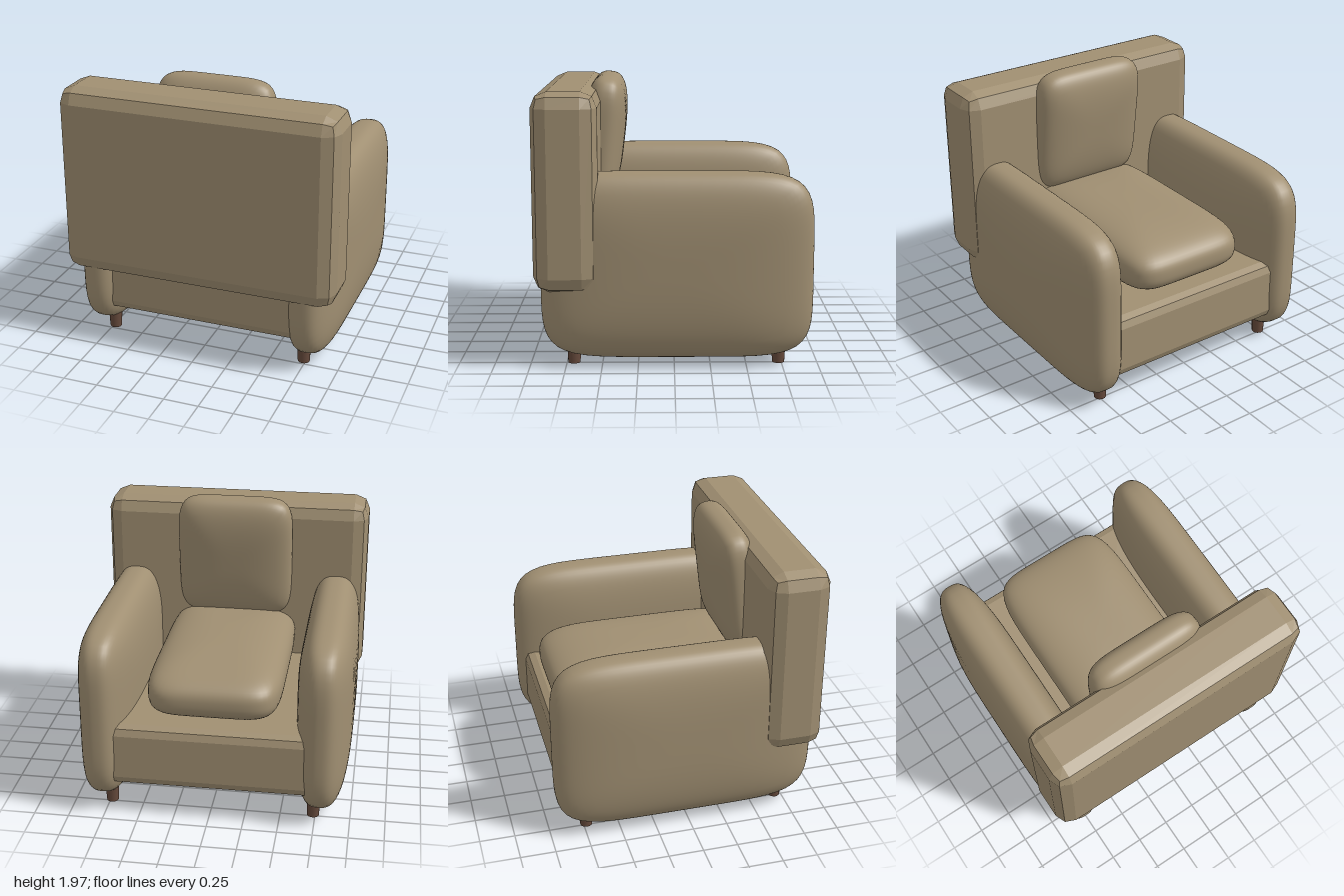
import * as THREE from 'three';
import { mergeVertices } from 'three/addons/utils/BufferGeometryUtils.js';
import { RoundedBoxGeometry } from 'three/addons/geometries/RoundedBoxGeometry.js';

// Plump padded block: a cube pushed onto a superellipsoid.
// "thin" is the axis of thickness, "outline" squares off the broad face, "puff" rounds its rim.
function padGeometry(half, thin, outline, puff) {
  let g = new THREE.BoxGeometry(2, 2, 2, 20, 20, 20);
  g.deleteAttribute('uv');
  g.deleteAttribute('normal');
  g = mergeVertices(g, 1e-4);
  const p = g.attributes.position;
  const v = new THREE.Vector3();
  for (let i = 0; i < p.count; i++) {
    v.fromBufferAttribute(p, i);
    const a = v.toArray().map(Math.abs);
    const t = a.splice(thin, 1)[0];
    const broad = Math.pow(a[0] ** outline + a[1] ** outline, puff / outline);
    v.divideScalar(Math.pow(broad + t ** puff, 1 / puff));
    p.setXYZ(i, v.x * half[0], v.y * half[1], v.z * half[2]);
  }
  g.computeVertexNormals();
  return g;
}

// Box with two flat facets around every edge, given by its limits
function bevelBox(min, max, radius) {
  const size = max.map((m, i) => m - min[i]);
  let g = new RoundedBoxGeometry(size[0], size[1], size[2], 1, radius);
  if (g.index) g = g.toNonIndexed();
  g.computeVertexNormals();
  g.translate(...max.map((m, i) => (m + min[i]) / 2));
  return g;
}

export function createModel() {
  const group = new THREE.Group();
  group.name = 'armchair';

  const fabric = new THREE.MeshStandardMaterial({ color: 0xa08f72 });
  fabric.name = 'beige fabric';
  const wood = new THREE.MeshStandardMaterial({ color: 0x664a3c });
  wood.name = 'brown wood';

  const add = (name, geometry, material, x = 0, y = 0, z = 0) => {
    const mesh = new THREE.Mesh(geometry, material);
    mesh.name = name;
    mesh.position.set(x, y, z);
    group.add(mesh);
    return mesh;
  };

  // Frame
  add('seatBase', bevelBox([-0.76, 0.225, -0.905], [0.76, 0.69, 0.86], 0.07), fabric);
  add('backrest', bevelBox([-1, 0.545, 0.515], [1, 1.91, 0.96], 0.11), fabric);

  // Cushions
  add('seatCushion', padGeometry([0.48, 0.21, 0.8], 1, 6, 2.8), fabric, 0, 0.88, -0.055);
  const pillow = add('backCushion', padGeometry([0.435, 0.48, 0.16], 2, 6, 2.8), fabric, 0, 1.49, 0.52);
  pillow.rotation.x = -0.12;

  // Arms and legs, mirrored left and right
  const armShape = padGeometry([0.205, 0.65, 0.94], 0, 5.7, 2.9);
  const legShape = new THREE.CylinderGeometry(0.054, 0.043, 0.24, 16);
  for (const [side, s] of [['left', 1], ['right', -1]]) {
    add(side + 'Arm', armShape, fabric, s * 0.778, 0.71, -0.02);
    add(side + 'BackLeg', legShape, wood, s * 0.735, 0.12, 0.7);
    add(side + 'FrontLeg', legShape, wood, s * 0.735, 0.12, -0.73);
  }

  return group;
}
